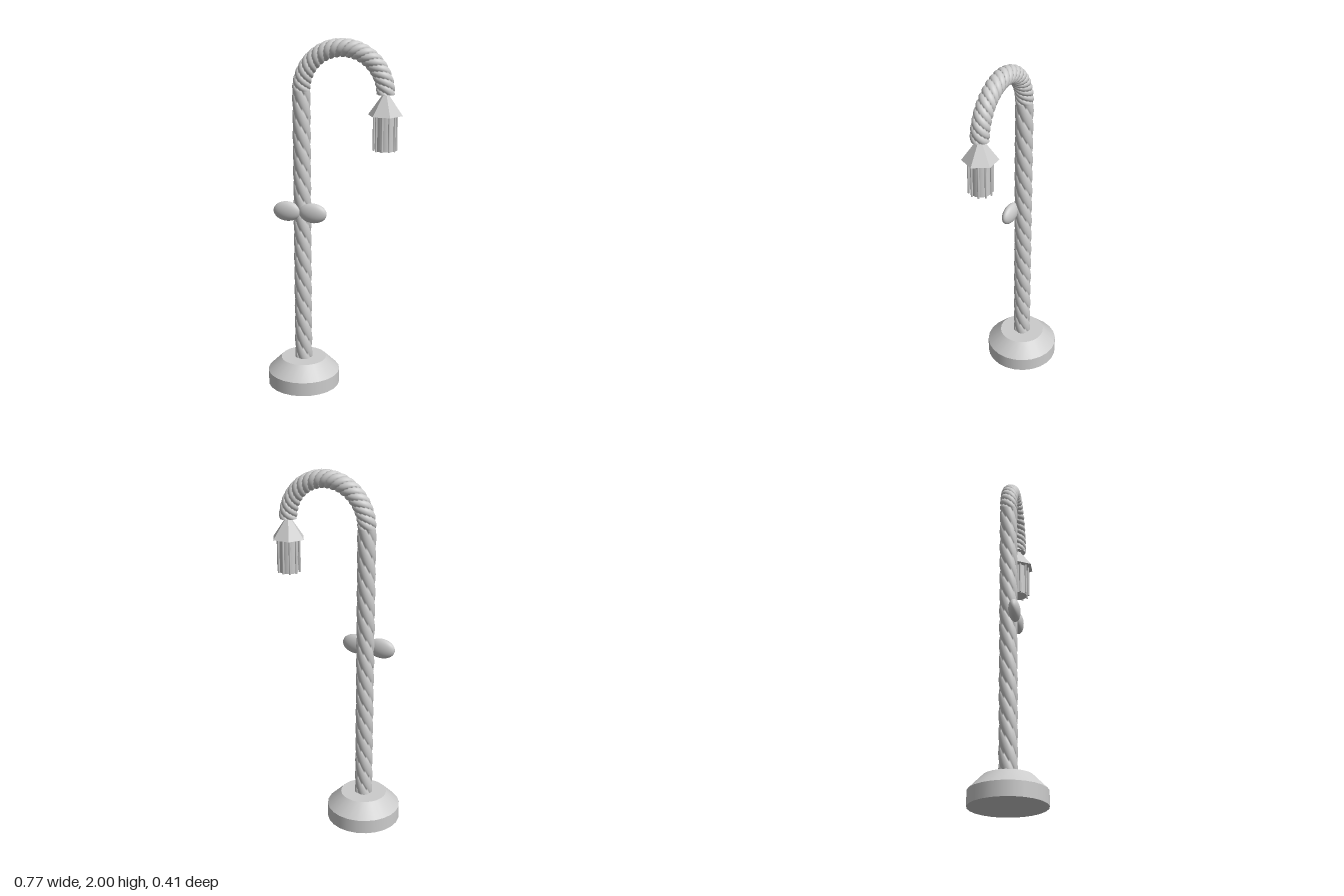
import * as THREE from 'three';
import { ParametricGeometry } from 'three/addons/geometries/ParametricGeometry.js';

const POLE_X = -0.18, HEAD_X = 0.29, BEND_Y = 1.715, BEND_R = 0.235;

export function createModel() {
  const model = new THREE.Group();
  model.name = 'streetLamp';
  const grey = new THREE.MeshStandardMaterial({ color: 0xcccccc });
  grey.name = 'light grey';
  const greyFlat = grey;

  function add(name, geometry, x, y, z, parent = model) {
    const mesh = new THREE.Mesh(geometry, greyFlat);
    mesh.name = name;
    mesh.position.set(x, y, z);
    parent.add(mesh);
    return mesh;
  }

  // Round foot: short drum with a sloping shoulder
  add('baseDrum', new THREE.CylinderGeometry(0.207, 0.207, 0.08, 24), POLE_X, 0.04, 0);
  add('baseShoulder', new THREE.CylinderGeometry(0.13, 0.207, 0.077, 24), POLE_X, 0.1185, 0);

  // Four-strand rope surface swept along a path; the strands wind with the given pitch
  function rope(path, length, pitch, phase, steps) {
    return new ParametricGeometry((u, v, target) => {
      const a = u * Math.PI * 2;
      const { x, y, nx, ny } = path(v);
      const twist = a + phase + (Math.PI * 2 * v * length) / pitch;
      const r = 0.041 + 0.009 * Math.sqrt(Math.abs(Math.sin(2 * twist)));
      target.set(x + nx * r * Math.cos(a), y + ny * r * Math.cos(a), r * Math.sin(a));
    }, 40, steps);
  }

  // Straight twisted post
  const bottom = 0.14, postLength = BEND_Y - bottom;
  add('post', rope(
    (t) => ({ x: POLE_X, y: bottom + t * postLength, nx: -1, ny: 0 }),
    postLength, 0.4, 0, 120), 0, 0, 0);

  // Hooked top with a tighter twist
  const centreX = POLE_X + BEND_R;
  add('hook', rope((t) => {
    const nx = -Math.cos(t * Math.PI), ny = Math.sin(t * Math.PI);
    return { x: centreX + BEND_R * nx, y: BEND_Y + BEND_R * ny, nx, ny };
  }, Math.PI * BEND_R, 0.15, (Math.PI * 2 * postLength) / 0.4, 130), 0, 0, 0);
  const cap = add('hookEnd', new THREE.CircleGeometry(0.045, 24), HEAD_X, BEND_Y, 0);
  cap.rotation.x = Math.PI / 2;

  // Hanging lantern: six-sided shade over a core ringed by thin rods
  const lantern = new THREE.Group();
  lantern.name = 'lantern';
  lantern.position.x = HEAD_X;
  model.add(lantern);
  const shadeGeometry = new THREE.ConeGeometry(0.095, 0.132, 6).toNonIndexed();
  shadeGeometry.computeVertexNormals();
  const shade = add('shade', shadeGeometry, 0, 1.671, 0, lantern);
  shade.rotation.y = Math.PI / 2;
  add('lanternCore', new THREE.CylinderGeometry(0.052, 0.052, 0.19, 20), 0, 1.51, 0, lantern);
  const rod = new THREE.CylinderGeometry(0.006, 0.006, 0.19, 8);
  for (let i = 0; i < 10; i++) {
    const a = (i / 10) * Math.PI * 2;
    add('lanternRod', rod, 0.06 * Math.sin(a), 1.51, 0.062 * Math.cos(a), lantern);
  }

  // Bow on the front of the post: two flattened lobes
  for (const side of [-1, 1]) {
    const lobe = add(side < 0 ? 'bowRight' : 'bowLeft',
      new THREE.SphereGeometry(1, 32, 20), POLE_X + side * 0.076, 1.043, 0.042);
    lobe.scale.set(0.08, 0.056, 0.032);
  }
  return model;
}
